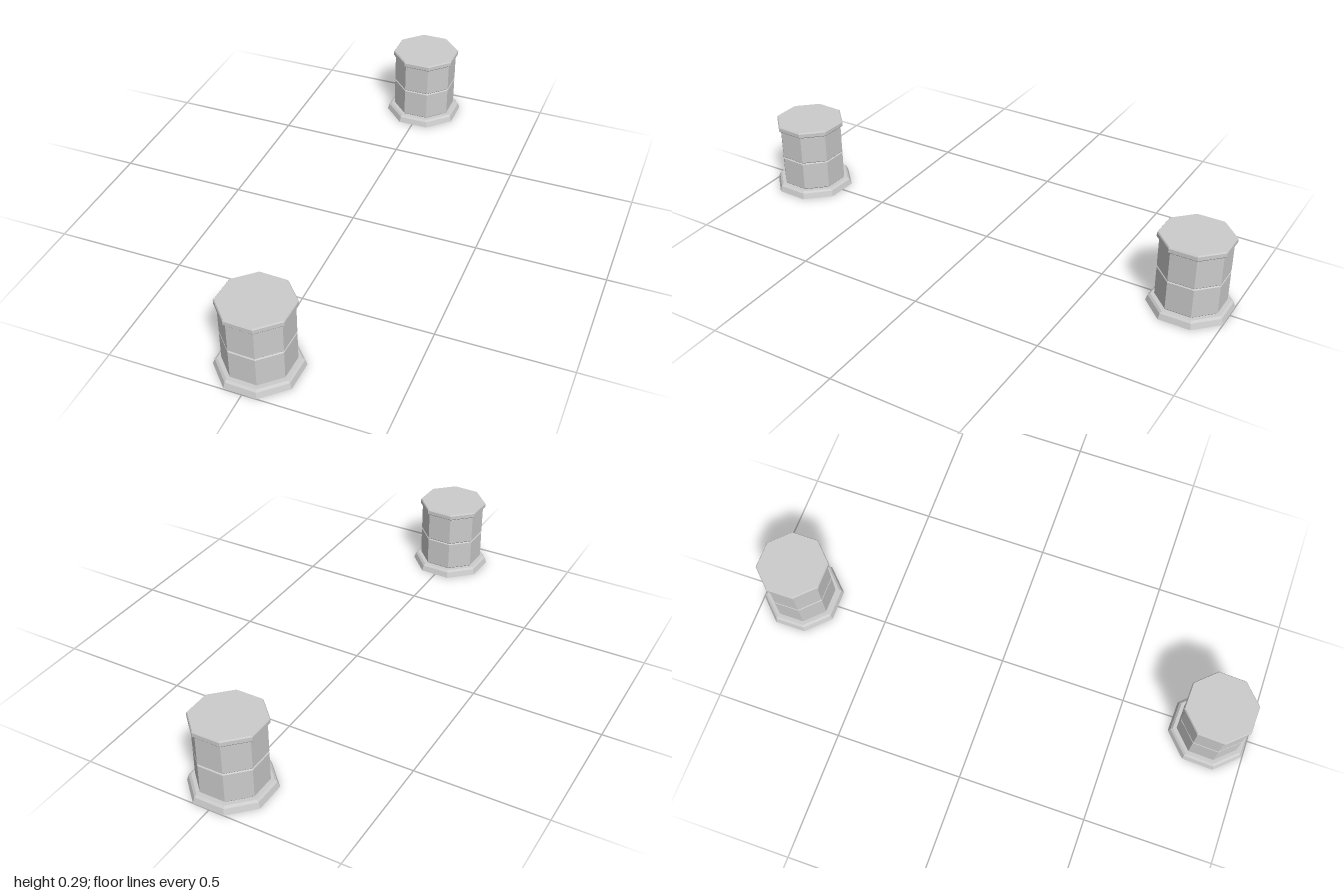
import * as THREE from 'three';

const material = new THREE.MeshStandardMaterial({ color: 0xcccccc, flatShading: true, side: THREE.DoubleSide });

// Eight-sided shell from [radius, height] points, with a flat side facing +z
function octagon(name, profile) {
  const points = profile.map(([r, y]) => new THREE.Vector2(r, y));
  const mesh = new THREE.Mesh(new THREE.LatheGeometry(points, 8, Math.PI / 8), material);
  mesh.name = name;
  return mesh;
}

// One drum of the shaft with bevelled rims
function drum(name, y0, y1) {
  return octagon(name, [[0.126, y0], [0.13, y0 + 0.004], [0.13, y1 - 0.004], [0.126, y1]]);
}

function createPillar(name) {
  const pillar = new THREE.Group();
  pillar.name = name;
  pillar.add(
    // Flared foot, open underneath
    octagon('base', [[0.16, 0], [0.1525, 0.022], [0.144, 0.029], [0.126, 0.029]]),
    drum('lowerDrum', 0.029, 0.15),
    drum('upperDrum', 0.15, 0.27),
    // Overhanging cap with bevelled edges and a closed top
    octagon('cap', [[0.126, 0.27], [0.136, 0.27], [0.1395, 0.274], [0.1395, 0.289], [0.136, 0.294], [0, 0.294]])
  );
  return pillar;
}

export function createModel() {
  const group = new THREE.Group();
  group.name = 'pillarPair';

  // Front pillar is turned very slightly
  const front = createPillar('frontPillar');
  front.position.set(-0.003, 0, 0.85);
  front.rotation.y = THREE.MathUtils.degToRad(-2);

  const back = createPillar('backPillar');
  back.position.set(0.004, 0, -0.852);

  group.add(front, back);
  return group;
}
